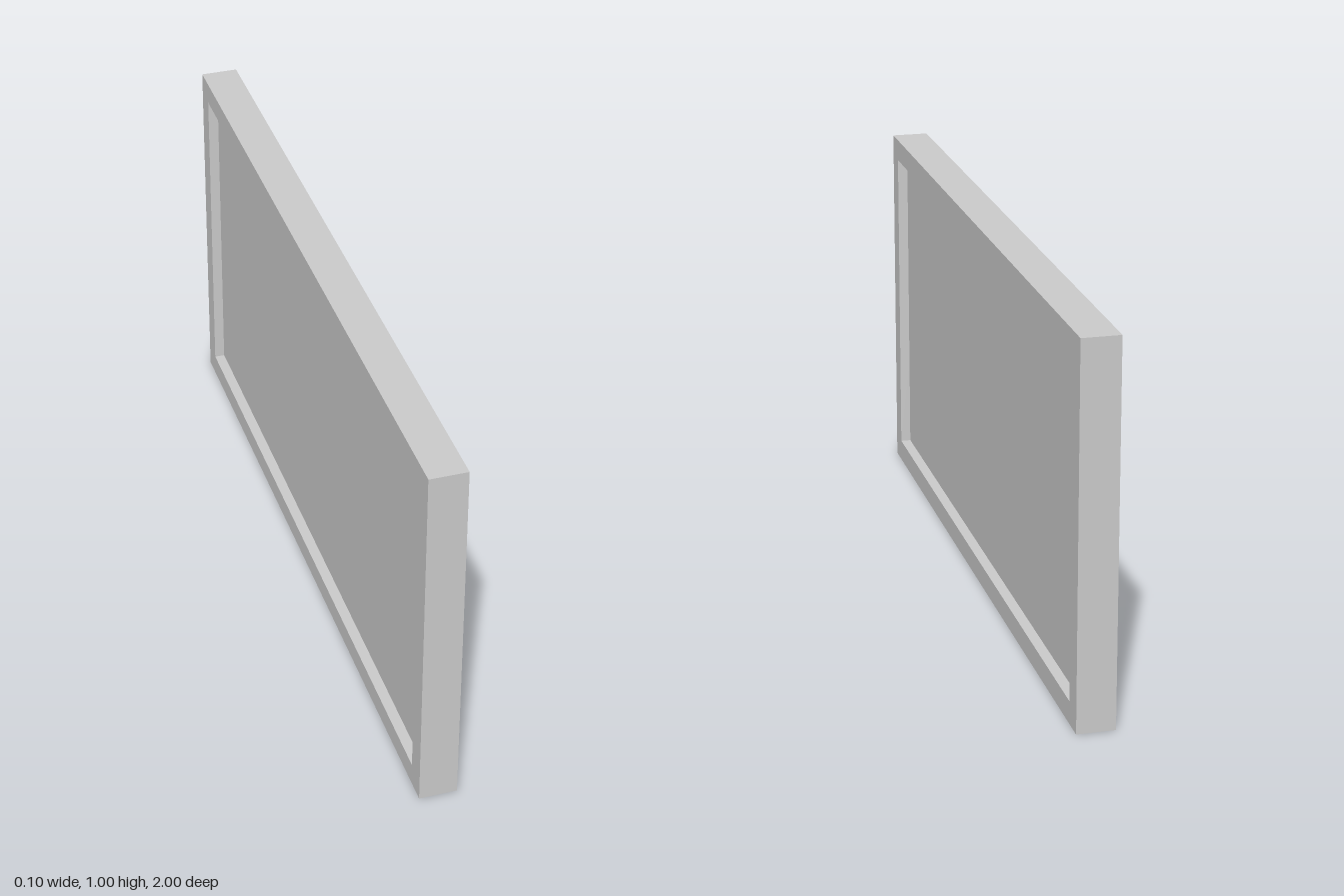
import * as THREE from 'three';

const LENGTH = 2, HEIGHT = 1, DEPTH = 0.1; // along z, y and x
const BORDER = 0.06, RECESS = 0.028;

// Traces a centred rectangle on a shape or hole path.
function rectangle(path, w, h) {
  path.moveTo(-w / 2, -h / 2);
  path.lineTo(w / 2, -h / 2);
  path.lineTo(w / 2, h / 2);
  path.lineTo(-w / 2, h / 2);
  path.closePath();
  return path;
}

export function createModel() {
  const group = new THREE.Group();
  group.name = 'framedPanel';
  const material = new THREE.MeshStandardMaterial({ color: 0xcccccc, flatShading: true });
  const innerLength = LENGTH - 2 * BORDER;
  const innerHeight = HEIGHT - 2 * BORDER;

  // Rectangular surround, extruded through the thickness
  const outline = rectangle(new THREE.Shape(), LENGTH, HEIGHT);
  outline.holes.push(rectangle(new THREE.Path(), innerLength, innerHeight));
  const frameGeometry = new THREE.ExtrudeGeometry(outline, { depth: DEPTH, bevelEnabled: false });
  frameGeometry.translate(0, 0, -DEPTH / 2).rotateY(Math.PI / 2);
  const frame = new THREE.Mesh(frameGeometry, material);
  frame.name = 'frame';

  // Thin panel, set back equally on both sides
  const panel = new THREE.Mesh(
    new THREE.BoxGeometry(DEPTH - 2 * RECESS, innerHeight, innerLength),
    material
  );
  panel.name = 'panel';

  for (const part of [frame, panel]) {
    part.position.y = HEIGHT / 2;
    group.add(part);
  }
  return group;
}
